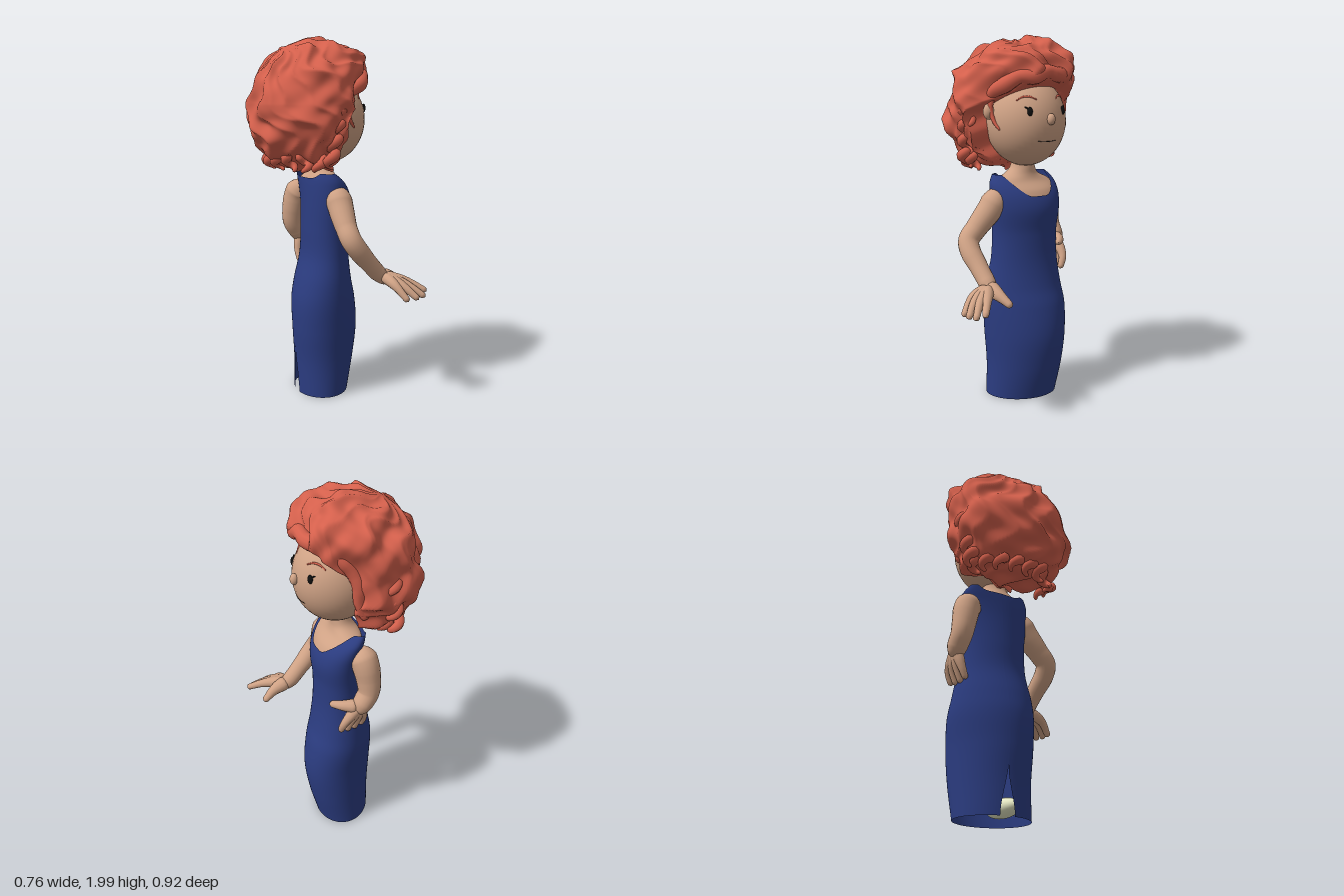
import * as THREE from 'three';
import { mergeVertices } from 'three/addons/utils/BufferGeometryUtils.js';

const V = (a) => new THREE.Vector3(...a);
const mat = (color) => new THREE.MeshStandardMaterial({ color, side: THREE.DoubleSide });
const skin = mat(0xcfa285), hairRed = mat(0xd4604c), blue = mat(0x2b3c80), black = mat(0x111111), cream = mat(0xe6e8c4);
const smooth = THREE.MathUtils.smoothstep, lerp = THREE.MathUtils.lerp;

function add(parent, name, geo, material, pos = [0, 0, 0]) {
  const m = new THREE.Mesh(geo, material);
  m.name = name;
  m.position.set(...pos);
  parent.add(m);
  return m;
}

function ball(parent, name, material, pos, radii) {
  return add(parent, name, new THREE.SphereGeometry(1, 40, 28).scale(...radii), material, pos);
}

// Drop seams so normals are smooth all round
function weld(g) {
  g.deleteAttribute('uv');
  g.deleteAttribute('normal');
  const merged = mergeVertices(g, 1e-5);
  merged.computeVertexNormals();
  return merged;
}

function sample(list, t) {
  const f = t * (list.length - 1), i = Math.min(Math.floor(f), list.length - 2);
  return lerp(list[i], list[i + 1], f - i);
}

// Tube along a curve with varying radius and rounded tips
function limb(parent, name, material, points, radii, segs = 32, sides = 16) {
  const curve = new THREE.CatmullRomCurve3(points.map(V));
  const g = new THREE.TubeGeometry(curve, segs, 1, sides);
  const p = g.attributes.position, n = g.attributes.normal, len = curve.getLength();
  for (let i = 0; i < p.count; i++) {
    const t = Math.floor(i / (sides + 1)) / segs;
    let r = sample(radii, t);
    const cap = Math.min(r / len, 0.45), e = Math.min(t, 1 - t);
    if (e < cap) r *= Math.sqrt(Math.max(0.0004, 1 - (1 - e / cap) ** 2));
    const c = curve.getPointAt(t);
    p.setXYZ(i, c.x + n.getX(i) * r, c.y + n.getY(i) * r, c.z + n.getZ(i) * r);
  }
  return add(parent, name, weld(g), material);
}

// Body cross-sections: y, back x, front x, right z, left z
const dressRows = [
  [0.01, -0.11, 0.215, 0.09, -0.29], [0.2, -0.115, 0.265, 0.09, -0.295], [0.38, -0.13, 0.29, 0.1, -0.3],
  [0.55, -0.13, 0.272, 0.105, -0.31], [0.65, -0.11, 0.243, 0.1, -0.3], [0.8, -0.068, 0.218, 0.083, -0.28],
  [0.95, -0.06, 0.215, 0.08, -0.275], [1.1, -0.055, 0.222, 0.098, -0.29], [1.18, -0.052, 0.19, 0.1, -0.3],
  [1.23, -0.048, 0.14, 0.092, -0.3], [1.27, -0.04, 0.075, 0.065, -0.28],
];
const chestRows = [
  [1.0, -0.04, 0.2, 0.07, -0.27], [1.1, -0.045, 0.21, 0.085, -0.28], [1.18, -0.042, 0.182, 0.09, -0.285],
  [1.23, -0.036, 0.135, 0.07, -0.265], [1.265, -0.015, 0.12, 0.0, -0.19], [1.3, 0.0, 0.118, -0.034, -0.162],
  [1.42, 0.0, 0.118, -0.034, -0.162],
];
const TWIST = 0.23, SEAM = 0.35; // slight turn of the body, and of its back seam

// Loft through the sections; top height and back gap may vary
function loft(rows, top, gap) {
  const n = 96, m = 64, pos = [], idx = [], y0 = rows[0][0];
  const section = new THREE.CubicInterpolant(rows.map((r) => r[0]), rows.flatMap((r) => r.slice(1)), 4);
  for (let i = 0; i <= m; i++) for (let j = 0; j <= n; j++) {
    const u = -1 + 2 * j / n, y = lerp(y0, top(u * Math.PI + SEAM), i / m), a = u * (Math.PI - gap(y)) + SEAM;
    const [x0, x1, z0, z1] = section.evaluate(y);
    pos.push((x0 + x1) / 2 + Math.cos(a) * (x1 - x0) / 2, y, (z0 + z1) / 2 + Math.sin(a - TWIST) * (z0 - z1) / 2);
    if (i < m && j < n) {
      const k = i * (n + 1) + j, w = k + n + 1;
      idx.push(k, w, k + 1, w, w + 1, k + 1);
    }
  }
  const g = new THREE.BufferGeometry();
  g.setAttribute('position', new THREE.Float32BufferAttribute(pos, 3));
  g.setIndex(idx);
  g.computeVertexNormals();
  return g;
}

// Hair mass: folds swirl out from the crown, the front is cut back around the face
function hairGeometry() {
  const g = new THREE.SphereGeometry(1, 200, 130), p = g.attributes.position, v = new THREE.Vector3();
  const crown = new THREE.Quaternion().setFromUnitVectors(V([0, 1, 0]), V([-0.5, 0.84, -0.15]).normalize());
  for (let i = 0; i < p.count; i++) {
    v.fromBufferAttribute(p, i);
    const phi = Math.atan2(v.z, v.x), th = Math.acos(THREE.MathUtils.clamp(v.y, -1, 1));
    v.applyQuaternion(crown);
    const swirl = phi + 0.25 * Math.sin(4 * th + 1) + 0.12 * Math.sin(9 * th + 2 * phi);
    const fold = 0.5 - Math.abs(Math.sin(3.5 * swirl + 0.5 * th));
    const crease = 0.5 - Math.abs(Math.sin(7 * swirl - 1.2 * th + Math.sin(3 * phi)));
    const lump = Math.sin(9 * v.y + 4 * v.x + 2) * Math.sin(8 * v.z + 3 * v.x) + 0.6 * Math.sin(15 * v.x + 5 * v.z) * Math.sin(14 * v.y + 4 * v.z);
    const q = lerp(2.5, 2.1, smooth(v.y, -0.4, 0.3)) + 0.4 * smooth(v.x, 0, 0.4) * smooth(-v.z, 0, 0.4);
    const norm = (Math.abs(v.x) ** q + Math.abs(v.y) ** q + Math.abs(v.z) ** q) ** (-1 / q);
    v.multiplyScalar(norm * (1 + smooth(th, 0, 0.7) * (0.07 * fold + 0.045 * crease + 0.04 * lump)));
    const y = 1.64 + 0.342 * v.y;
    const x = -0.04 + 0.33 * v.x + 0.22 * Math.max(0, y - 1.64);
    const front = (v.z > 0 ? 0.38 : 0.26) * smooth(x, -0.02, 0.17) * (1 - smooth(y, 1.7, 1.9));
    const back = smooth(-x, 0.15, 0.38);
    const z = -0.1 + 0.355 * v.z * (1 - front - (v.z > 0 ? 0.22 : 0.32) * back) + 0.025 * back;
    const edge = -0.01 + 0.36 * smooth(y, 1.585, 1.84) + 0.11 * smooth(-z, 0.22, 0.32) + 0.012 * Math.sin(38 * y + 9 * z);
    p.setXYZ(i, Math.min(x, edge), y, z);
  }
  return weld(g);
}

// Small spiral lock hanging from a point
function lock(parent, [x, y, z], size, drop) {
  const pts = [];
  for (let k = 0; k <= 10; k++) {
    const a = k * 0.6 + x * 20 + z * 9;
    pts.push([x + size * Math.cos(a), y - drop * k / 10, z + size * Math.sin(a)]);
  }
  limb(parent, 'curl', hairRed, pts, [0.026, 0.03, 0.022, 0.008], 28, 8);
}

// Finger running from the wrist over a knuckle to its tip
function finger(parent, wrist, knuckle, tip) {
  limb(parent, 'finger', skin, [wrist, knuckle, tip], [0.032, 0.032, 0.028, 0.022, 0.019, 0.016], 24, 12);
}

export function createModel() {
  const model = new THREE.Group();

  // Dress with scooped neck and back slit, body and foot beneath
  const neckline = (a) => 1.265 - 0.11 * (1 - smooth(Math.abs(a - TWIST), 0.2, 1.05)) - 0.03 * smooth(-Math.cos(a - SEAM), 0.6, 0.97);
  add(model, 'dress', loft(dressRows, neckline, (y) => 0.2 * (1 - smooth(y, 0, 0.27))), blue);
  add(model, 'chestAndNeck', loft(chestRows, () => 1.42, () => 0), skin);
  ball(model, 'shoe', cream, [0.06, 0.09, -0.02], [0.12, 0.05, 0.06]);

  // Right arm, reaching forward and outward
  const right = new THREE.Group();
  right.name = 'rightArm';
  model.add(right);
  limb(right, 'arm', skin, [[0.045, 1.19, 0.05], [0.035, 1.1, 0.1], [0.01, 0.99, 0.185], [0.005, 0.93, 0.235], [0.035, 0.88, 0.25], [0.11, 0.8, 0.25], [0.2, 0.71, 0.26], [0.225, 0.69, 0.3]],
    [0.055, 0.072, 0.066, 0.058, 0.056, 0.054, 0.048, 0.046, 0.03], 56, 20);
  const hub = [0.205, 0.715, 0.27];
  finger(right, hub, [0.2, 0.68, 0.37], [0.225, 0.605, 0.45]);
  finger(right, hub, [0.24, 0.675, 0.385], [0.285, 0.61, 0.465]);
  finger(right, hub, [0.275, 0.675, 0.38], [0.337, 0.615, 0.46]);
  finger(right, hub, [0.3, 0.685, 0.355], [0.375, 0.635, 0.43]);
  limb(right, 'thumb', skin, [[0.19, 0.72, 0.255], [0.28, 0.69, 0.258], [0.36, 0.645, 0.242]], [0.045, 0.038, 0.026, 0.017], 24, 12);

  // Left arm, bent with the hand at the waist
  const left = new THREE.Group();
  left.name = 'leftArm';
  model.add(left);
  limb(left, 'arm', skin, [[0.045, 1.19, -0.25], [0.035, 1.12, -0.3], [0.025, 1.02, -0.325], [0.03, 0.95, -0.335], [0.065, 0.89, -0.335], [0.09, 0.83, -0.325]],
    [0.055, 0.073, 0.07, 0.064, 0.058, 0.054, 0.036], 48, 20);
  for (let k = 0; k < 4; k++)
    finger(left, [0.08, 0.88, -0.33], [0.05 + 0.037 * k, 0.785, -0.315], [0.045 + 0.042 * k, 0.7 + 0.01 * Math.abs(k - 1.5), -0.287]);
  limb(left, 'thumb', skin, [[0.085, 0.875, -0.33], [0.16, 0.88, -0.285], [0.208, 0.88, -0.235]], [0.044, 0.034, 0.024, 0.016], 24, 12);

  // Head, local +z is the facing direction
  const head = new THREE.Group();
  head.name = 'head';
  head.position.set(0.085, 1.55, -0.095);
  head.rotation.y = THREE.MathUtils.degToRad(84);
  model.add(head);
  const R = [0.215, 0.24, 0.217];
  ball(head, 'face', skin, [0, 0, 0], R);
  const onFace = (x, y, out = 0) => [x, y, R[2] * Math.sqrt(1 - (x / R[0]) ** 2 - (y / R[1]) ** 2) + out];
  ball(head, 'nose', skin, onFace(0, 0.02, 0.004), [0.022, 0.03, 0.022]);
  limb(head, 'mouth', black, [-0.062, -0.03, 0, 0.03, 0.062].map((x) => onFace(x, -0.096 + x * x)), [0.001, 0.002, 0.001], 24, 6);
  for (const s of [-1, 1]) {
    ball(head, 'eye', black, onFace(s * 0.106, 0.06), [0.014, 0.024, 0.011]).rotation.y = s * 0.5;
    limb(head, 'eyelash', black, [onFace(s * 0.11, 0.072), onFace(s * 0.122, 0.08, 0.005), onFace(s * 0.13, 0.086, 0.008)], [0.005, 0.004, 0.001], 8, 6);
    limb(head, 'eyebrow', hairRed, [0.06, 0.09, 0.12, 0.15].map((x, i) => onFace(s * x, [0.118, 0.134, 0.132, 0.112][i])), [0.003, 0.006, 0.003], 20, 8);
    ball(head, 'ear', skin, [s * 0.228, 0.055, -0.015], [0.03, 0.042, 0.026]);
  }

  // Hair with a wavy fringe and curls round the sides and nape
  const hair = new THREE.Group();
  hair.name = 'hair';
  model.add(hair);
  add(hair, 'hairMass', hairGeometry(), hairRed);
  limb(hair, 'fringe', hairRed, [[0.02, 1.65, 0.15], [0.08, 1.705, 0.13], [0.15, 1.74, 0.115], [0.21, 1.785, 0.06], [0.25, 1.785, 0.0], [0.265, 1.81, -0.07],
    [0.27, 1.795, -0.14], [0.235, 1.785, -0.21], [0.18, 1.74, -0.28], [0.13, 1.68, -0.31], [0.1, 1.6, -0.335], [0.09, 1.5, -0.33], [0.06, 1.4, -0.34]],
    [0.02, 0.034, 0.042, 0.036, 0.042, 0.036, 0.042, 0.036, 0.042, 0.036, 0.036, 0.03, 0.02], 100, 12);
  for (const s of [-1, 1]) for (let k = 0; k < 4; k++)
    lock(hair, [-0.04 - 0.015 * k, 1.63 - 0.075 * k, -0.1 + s * (0.3 - 0.008 * k)], 0.024, 0.1);
  for (let k = 0; k < 9; k++) {
    const a = Math.PI * (0.5 + k / 8);
    lock(hair, [-0.06 + 0.17 * Math.cos(a), 1.38, -0.09 + 0.23 * Math.sin(a)], 0.024, 0.09);
  }
  limb(hair, 'sideStrand', hairRed, [[0.08, 1.7, 0.12], [0.06, 1.63, 0.13], [0.08, 1.56, 0.125], [0.12, 1.51, 0.115]], [0.016, 0.014, 0.011, 0.006], 24, 8);
  return model;
}
